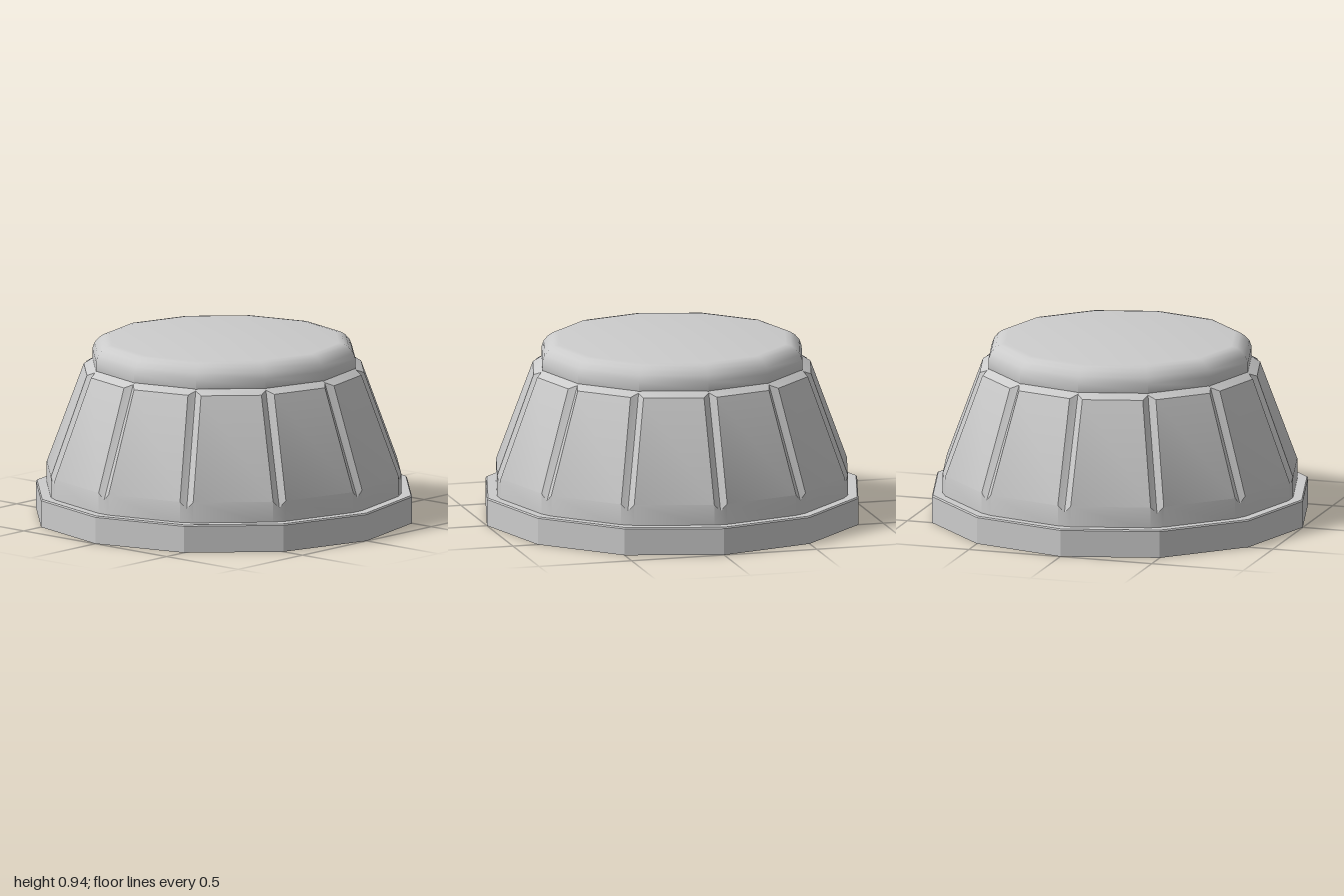
import * as THREE from 'three';
import { toCreasedNormals } from 'three/addons/utils/BufferGeometryUtils.js';

const SIDES = 12;
const STEP = (Math.PI * 2) / SIDES;

function addMesh(group, name, geometry, crease) {
  const material = new THREE.MeshStandardMaterial({ color: 0xcccccc });
  const mesh = new THREE.Mesh(toCreasedNormals(geometry, crease), material);
  mesh.name = name;
  group.add(mesh);
}

// Twelve-sided turned solid from [radius, height] pairs, bottom to top
function turned(profile) {
  return new THREE.LatheGeometry(profile.map(([r, y]) => new THREE.Vector2(r, y)), SIDES);
}

// Twelve bevelled panels with a V groove at every corner.
// Each ring gives the panel corner (radius, half gap, height) and the groove (radius, height).
function panelledBody() {
  const rings = [
    { r: 0.935, gap: 0.035, y: 0.13, gr: 0.935, gy: 0.13 },
    { r: 0.935, gap: 0.035, y: 0.255, gr: 0.932, gy: 0.22 },
    { r: 0.738, gap: 0.035, y: 0.782, gr: 0.705, gy: 0.8 },
    { r: 0.69, gap: 0.012, y: 0.812, gr: 0.69, gy: 0.812 },
  ];
  const positions = [];
  const index = [];
  const count = SIDES * 3;
  for (const { r, gap, y, gr, gy } of rings) {
    for (let i = 0; i < SIDES; i++) {
      const s = Math.sin(i * STEP);
      const c = Math.cos(i * STEP);
      for (const side of [-1, 0, 1]) {
        const out = side ? r : gr;
        const across = side * gap;
        positions.push(out * s + across * c, side ? y : gy, out * c - across * s);
      }
    }
  }
  for (let k = 0; k < rings.length - 1; k++) {
    for (let i = 0; i < count; i++) {
      const a = k * count + i;
      const b = k * count + ((i + 1) % count);
      // Mirror the diagonal on the two walls of each groove
      if (i % 3 === 0) index.push(a, b, b + count, a, b + count, a + count);
      else index.push(a, b, a + count, b, b + count, a + count);
    }
  }
  const geometry = new THREE.BufferGeometry();
  geometry.setAttribute('position', new THREE.Float32BufferAttribute(positions, 3));
  geometry.setIndex(index);
  return geometry;
}

export function createModel() {
  const group = new THREE.Group();
  group.name = 'facetedKnob';

  // Wide foot ring with a closed underside
  addMesh(group, 'base', turned([[0, 0], [1, 0], [1, 0.14], [0.994, 0.147], [0, 0.147]]), 0.4);

  // Tapered, grooved skirt
  addMesh(group, 'panelledBody', panelledBody(), 0.4);

  // Cap with a rounded shoulder
  addMesh(group, 'cap', turned([
    [0.69, 0.79], [0.7, 0.81], [0.7, 0.858], [0.688, 0.89],
    [0.665, 0.917], [0.64, 0.934], [0.61, 0.939], [0, 0.939],
  ]), 0.65);

  return group;
}
